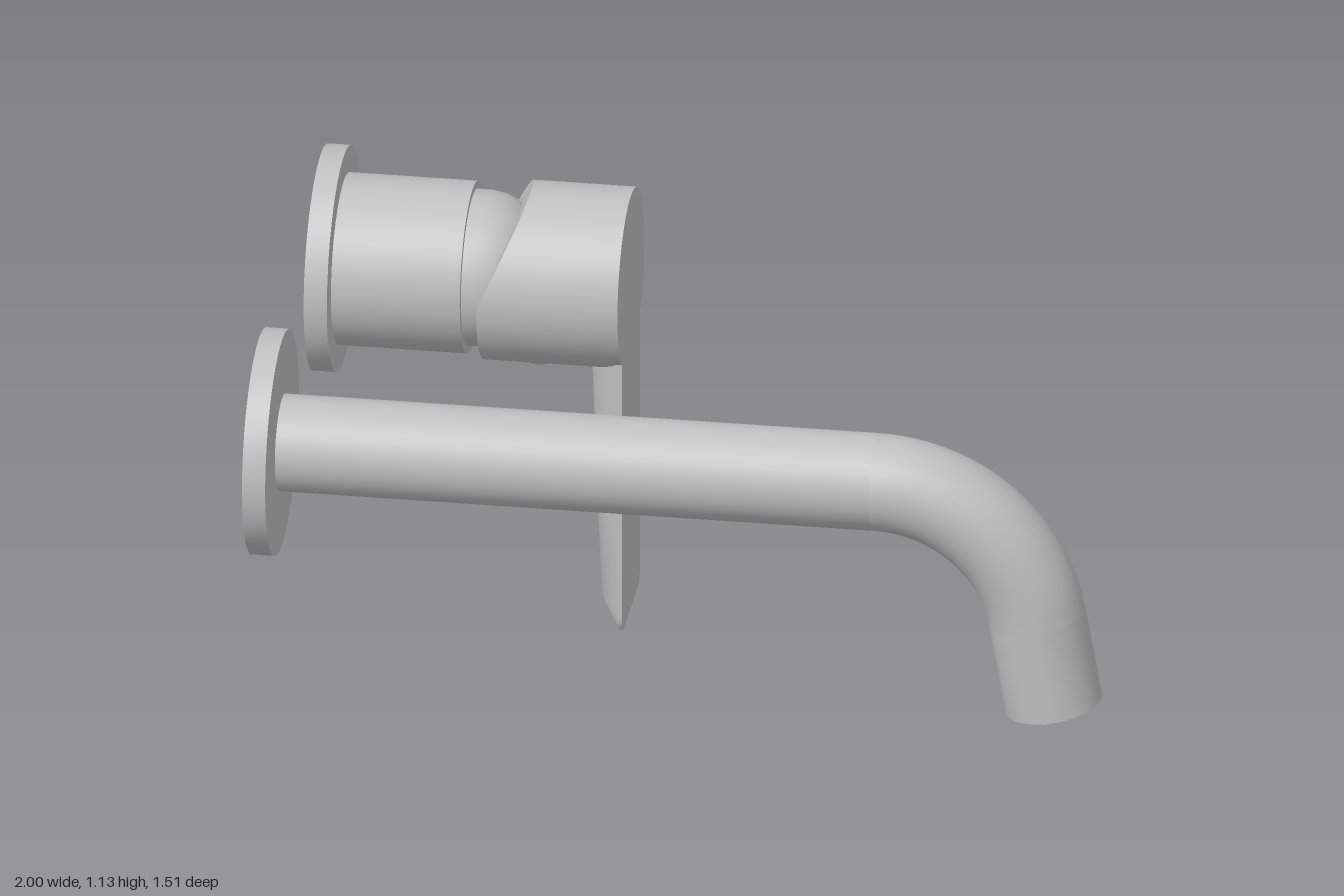
import * as THREE from 'three';
import { toCreasedNormals } from 'three/addons/utils/BufferGeometryUtils.js';

const AXIS_Y = 0.863;   // height of both horizontal axes
const SIDE_Z = 0.488;   // distance of each axis from the middle
const BEND_R = 0.387;
const PIPE_R = 0.115;
const TILT = THREE.MathUtils.degToRad(80);

const metal = new THREE.MeshStandardMaterial({ color: 0xc0c0c0 });
metal.name = 'brushed metal';

function add(parent, name, geometry, crease = 0.6) {
  const mesh = new THREE.Mesh(toCreasedNormals(geometry, crease), metal);
  mesh.name = name;
  parent.add(mesh);
  return mesh;
}

// Solid of revolution about the x axis; profile holds [x, radius] from back to front
function turned(profile, segments = 48) {
  const points = profile.map(([x, r]) => new THREE.Vector2(r, x));
  return new THREE.LatheGeometry(points, segments).rotateZ(-Math.PI / 2);
}

function disc(x0, x1, r) {
  return turned([[x0, 0], [x0, r], [x1, r], [x1, 0]]);
}

// Lever: flat front and bulged back, lofted upward from a rounded tip
function leverGeometry() {
  const front = -0.265, n = 16;
  const rows = [ // height, half width, depth
    [0, 0.118, 0.004], [0.006, 0.13, 0.022], [0.016, 0.138, 0.042],
    [0.03, 0.142, 0.057], [0.055, 0.143, 0.068], [0.35, 0.143, 0.079],
    [0.65, 0.143, 0.09], [0.75, 0.143, 0.093],
  ];
  const pos = [], index = [], ring = n + 2;
  for (const [y, w, d] of rows) {
    const edge = Math.min(0.012, d * 0.3);
    pos.push(front, y - AXIS_Y, w);
    for (let i = 0; i <= n; i++) {
      const u = -1 + (2 * i) / n;
      pos.push(front - edge - (d - edge) * (1 - u * u), y - AXIS_Y, u * w);
    }
    // close the flat front at its second corner
    pos.push(front, y - AXIS_Y, -w);
  }
  const count = ring + 1;
  // order around the section: front left, front right, then along the back
  const order = [0, ring, ...Array.from({ length: n + 1 }, (_, i) => i + 1)];
  for (let r = 0; r < rows.length; r++) {
    for (let j = 0; j < count; j++) {
      const a = order[j], b = order[(j + 1) % count], o = r * count;
      if (r < rows.length - 1) {
        index.push(o + a, o + b, o + count + b, o + a, o + count + b, o + count + a);
      }
      if (r === 0 && j > 0 && j < count - 1) index.push(0, b, a);
    }
  }
  const g = new THREE.BufferGeometry();
  g.setAttribute('position', new THREE.Float32BufferAttribute(pos, 3));
  g.setIndex(index);
  return g;
}

function createSpout() {
  const spout = new THREE.Group();
  spout.name = 'spout';
  spout.position.set(0, AXIS_Y, SIDE_Z);
  add(spout, 'spoutFlange', disc(-1, -0.945, 0.267));

  const bendX = 0.461;
  add(spout, 'spoutPipe', turned([[-0.945, PIPE_R], [bendX, PIPE_R]], 32));

  const bend = new THREE.TorusGeometry(BEND_R, PIPE_R, 32, 24, TILT);
  bend.rotateZ(Math.PI / 2 - TILT);
  add(spout, 'spoutBend', bend).position.set(bendX, -BEND_R, 0);

  // Outlet continues along the end of the bend
  const outlet = turned([[0, PIPE_R], [0.23, PIPE_R], [0.23, 0]], 32);
  const tip = add(spout, 'spoutOutlet', outlet);
  tip.position.set(bendX + BEND_R * Math.sin(TILT), -BEND_R * (1 - Math.cos(TILT)), 0);
  tip.rotation.z = -TILT;
  return spout;
}

function createValve() {
  const valve = new THREE.Group();
  valve.name = 'mixerValve';
  valve.position.set(0, AXIS_Y, -SIDE_Z);
  add(valve, 'valveFlange', disc(-1, -0.945, 0.267));
  add(valve, 'valveBody', disc(-0.945, -0.64, 0.203));
  add(valve, 'domedNeck', turned([
    [-0.64, 0.185], [-0.605, 0.184], [-0.57, 0.178], [-0.54, 0.164],
    [-0.51, 0.135], [-0.48, 0.09], [-0.46, 0],
  ]));

  // Handle head: the upper half of its back end is cut on a slope
  const head = disc(-0.6, -0.265, 0.214);
  const p = head.attributes.position;
  for (let i = 0; i < p.count; i++) {
    if (p.getX(i) < -0.5) p.setX(i, -0.6 + Math.max(0, p.getY(i)) * 0.47);
  }
  add(valve, 'handleHead', head);
  add(valve, 'lever', leverGeometry());

  // Small plug under the head
  const plug = new THREE.SphereGeometry(0.05, 20, 12).scale(1, 0.5, 1);
  add(valve, 'setScrewPlug', plug).position.set(-0.48, -0.208, 0);
  return valve;
}

export function createModel() {
  const model = new THREE.Group();
  model.name = 'wallMountedTap';
  model.add(createSpout(), createValve());
  return model;
}
